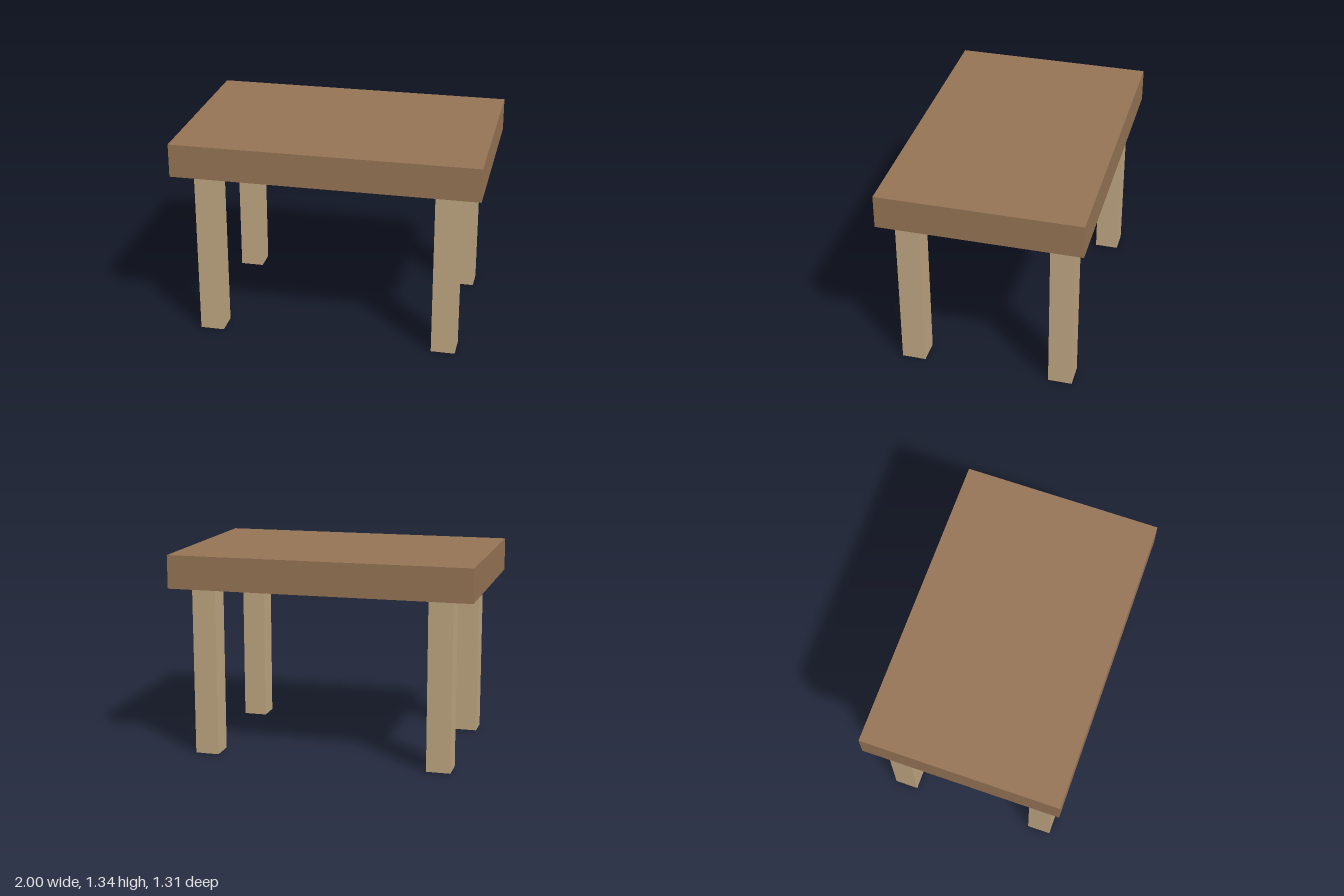
import * as THREE from 'three';

const TOP_Y = 1.343, LEG_H = 1.123, LEG_W = 0.158;

export function createModel() {
  const model = new THREE.Group();
  model.name = 'table';
  const darkWood = new THREE.MeshStandardMaterial({ color: 0x957355 });
  darkWood.name = 'dark wood';
  const paleWood = new THREE.MeshStandardMaterial({ color: 0xbda480 });
  paleWood.name = 'pale wood';

  const addBox = (name, material, size, position) => {
    const mesh = new THREE.Mesh(new THREE.BoxGeometry(...size), material);
    mesh.name = name;
    mesh.position.set(...position);
    model.add(mesh);
  };

  // Thick slab top
  addBox('tableTop', darkWood, [2, TOP_Y - LEG_H, 1.312], [0, (TOP_Y + LEG_H) / 2, 0]);

  // Four square legs, inset from the corners
  for (const [zName, z] of [['front', 1], ['back', -1]]) {
    for (const [xName, x] of [['Left', 1], ['Right', -1]]) {
      addBox(`${zName}${xName}Leg`, paleWood, [LEG_W, LEG_H, LEG_W], [x * 0.784, LEG_H / 2, z * 0.498]);
    }
  }
  return model;
}
